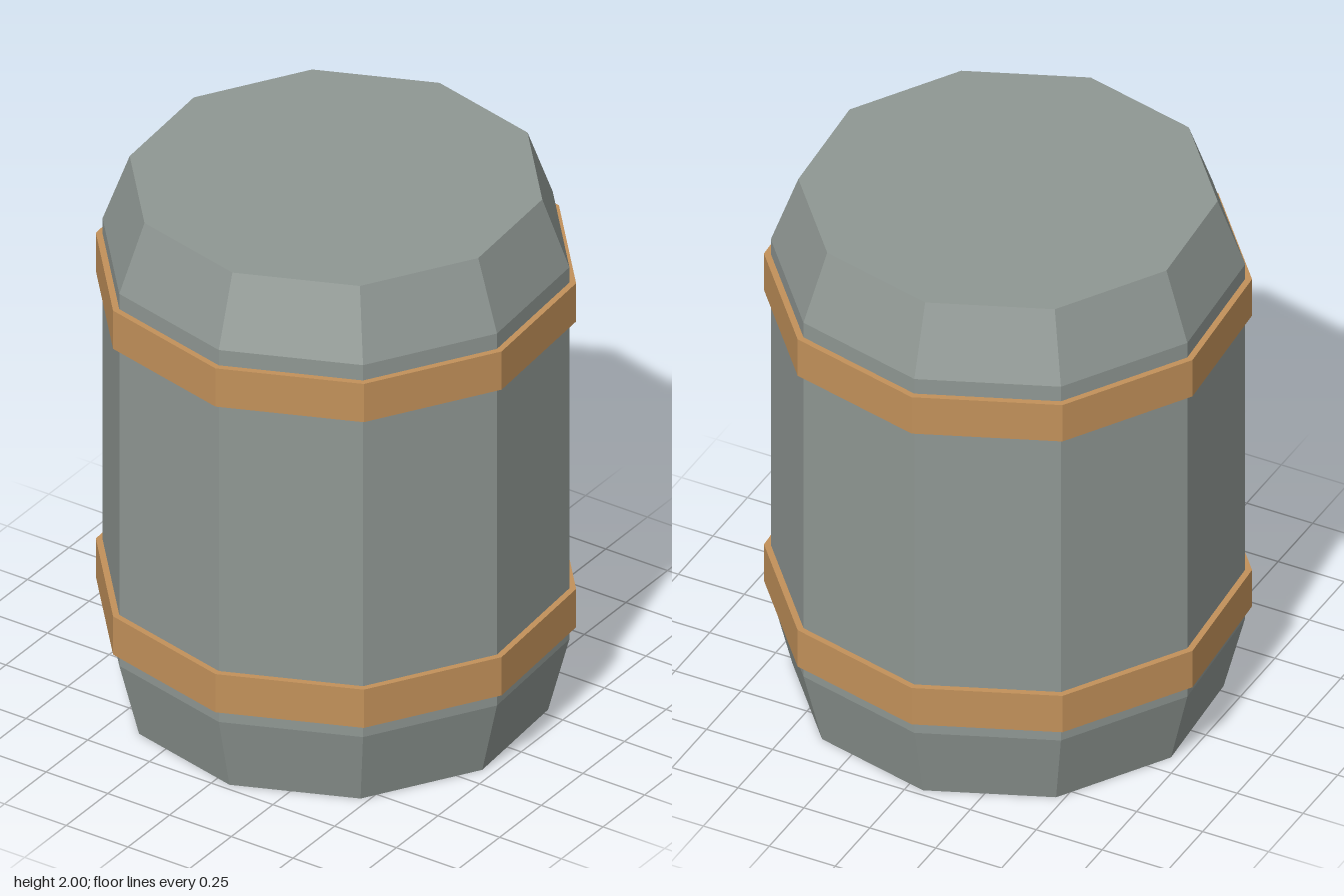
import * as THREE from 'three';

const SIDES = 10;
const TURN = THREE.MathUtils.degToRad(4.5);

// Faceted solid of revolution from [radius, height] pairs, listed bottom to top
function faceted(name, profile, material) {
  const points = profile.map(([r, y]) => new THREE.Vector2(r, y));
  const mesh = new THREE.Mesh(new THREE.LatheGeometry(points, SIDES, TURN), material);
  mesh.name = name;
  return mesh;
}

export function createModel() {
  const grey = new THREE.MeshStandardMaterial({ color: 0x8f9793, flatShading: true });
  grey.name = 'grey staves';
  const copper = new THREE.MeshStandardMaterial({ color: 0xc2915a, flatShading: true });
  copper.name = 'copper hoops';

  const model = new THREE.Group();
  model.name = 'barrel';

  // Closed body with tapered ends
  model.add(faceted('body', [
    [0, 0], [0.727, 0], [0.8, 0.285], [0.8, 1.745], [0.707, 2], [0, 2],
  ], grey));

  // Two identical hoops standing slightly proud of the body
  for (const [name, y] of [['lowerHoop', 0.335], ['upperHoop', 1.535]]) {
    const hoop = faceted(name, [[0.8, 0], [0.823, 0], [0.823, 0.15], [0.8, 0.15]], copper);
    hoop.position.y = y;
    model.add(hoop);
  }
  return model;
}
